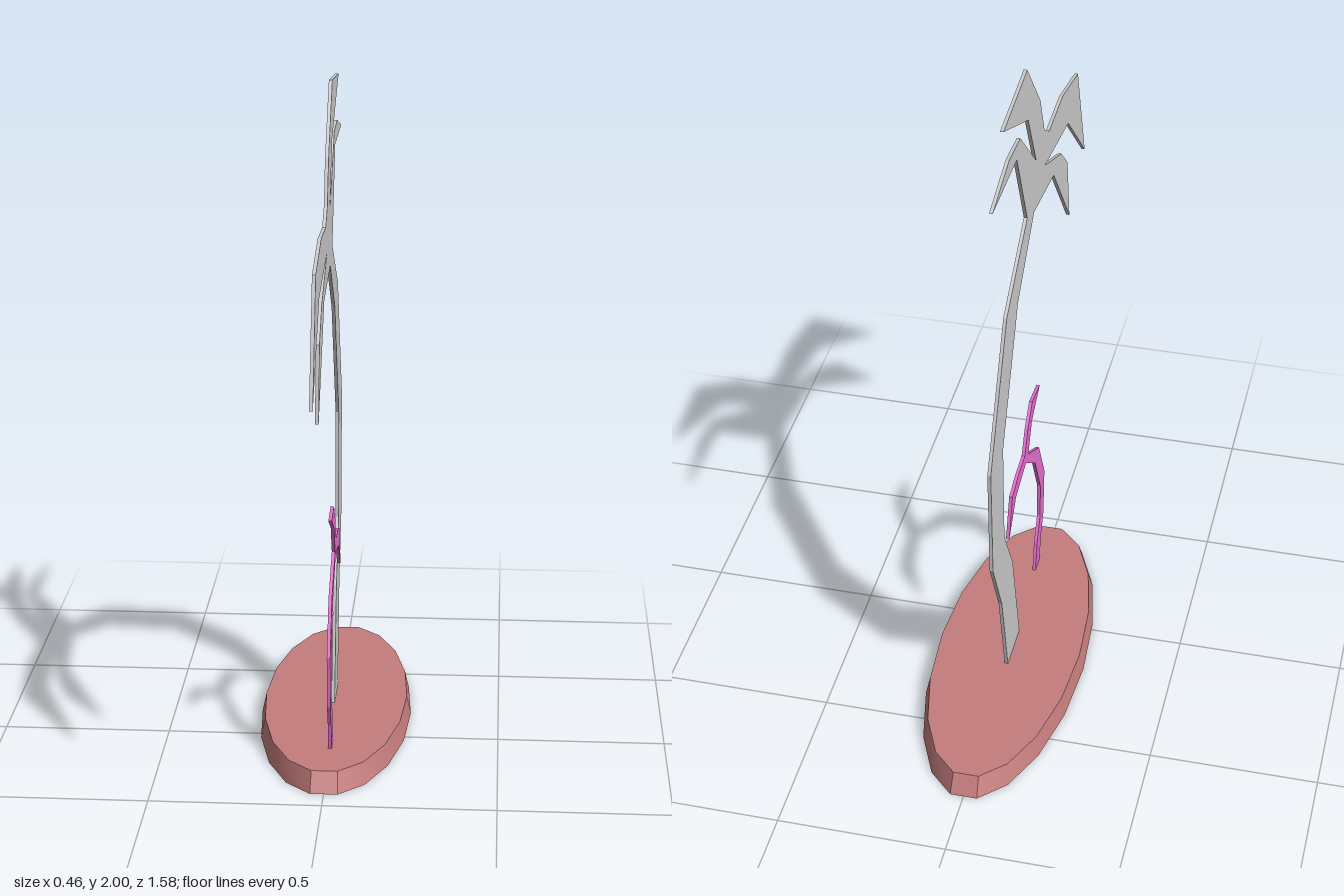
import * as THREE from 'three';
import { toCreasedNormals } from 'three/addons/utils/BufferGeometryUtils.js';

// Outlines as [z, y] points
const LARGE_PALM = [
  // front edge of trunk
  [-0.10, 0], [-0.20, 0.41], [-0.305, 0.595], [-0.315, 0.93], [-0.125, 1.31], [0.08, 1.485],
  // lower front frond
  [0.34, 1.447], [0.57, 1.16], [0.533, 1.373], [0.443, 1.458], [0.22, 1.555],
  // upper front frond
  [0.538, 1.506], [0.79, 1.262], [0.67, 1.60], [0.453, 1.648], [0.273, 1.638], [0.21, 1.68],
  // top frond
  [0.156, 1.808], [-0.008, 2], [-0.289, 1.972], [0.003, 1.835], [0.103, 1.644],
  // rear frond
  [-0.093, 1.835], [-0.225, 1.846], [-0.416, 1.797], [-0.135, 1.792], [-0.008, 1.522],
  // rear edge of trunk
  [-0.262, 1.352], [-0.464, 0.95], [-0.448, 0.583], [-0.342, 0.366], [-0.255, 0],
];
const SMALL_PALM = [
  // front edge of trunk
  [0.215, 0], [0.231, 0.058], [0.247, 0.138], [0.284, 0.212], [0.294, 0.371], [0.215, 0.525], [0.066, 0.615],
  // front frond
  [0.114, 0.705], [0.22, 0.763], [0.119, 0.774], [0.061, 0.716], [0.019, 0.642],
  // rear frond
  [-0.066, 0.636], [-0.146, 0.615], [-0.188, 0.488], [-0.098, 0.578], [0.034, 0.604],
  // rear edge of trunk
  [0.162, 0.504], [0.236, 0.355], [0.236, 0.233], [0.194, 0.159], [0.172, 0.058], [0.16, 0],
];

// Thin upright plate lying in the y-z plane
function makePlate(name, outline, xMax, thickness, color) {
  const shape = new THREE.Shape(outline.map(([z, y]) => new THREE.Vector2(z, y)));
  const geometry = new THREE.ExtrudeGeometry(shape, { depth: thickness, bevelEnabled: false });
  geometry.rotateY(-Math.PI / 2).translate(xMax, 0, 0);
  const mesh = new THREE.Mesh(geometry, new THREE.MeshStandardMaterial({ color }));
  mesh.name = name;
  return mesh;
}

// Oval base: 18-sided tapered shell, open underneath
function makeBase() {
  const profile = [[1, 0], [0.945, 0.058], [0, 0.058]].map(([r, y]) => new THREE.Vector2(r, y));
  const shell = new THREE.LatheGeometry(profile, 18, Math.PI / 18);
  shell.scale(0.23, 1, 0.614).translate(0, 0, -0.182);
  const mesh = new THREE.Mesh(
    toCreasedNormals(shell, 0.6),
    new THREE.MeshStandardMaterial({ color: 0xc47c7c, side: THREE.DoubleSide })
  );
  mesh.name = 'base';
  return mesh;
}

export function createModel() {
  const model = new THREE.Group();
  model.name = 'palmOrnament';
  model.add(
    makeBase(),
    makePlate('largePalm', LARGE_PALM, -0.002, 0.01, 0xcccccc),
    makePlate('smallPalm', SMALL_PALM, 0.011, 0.01, 0xe86fd0)
  );
  return model;
}
